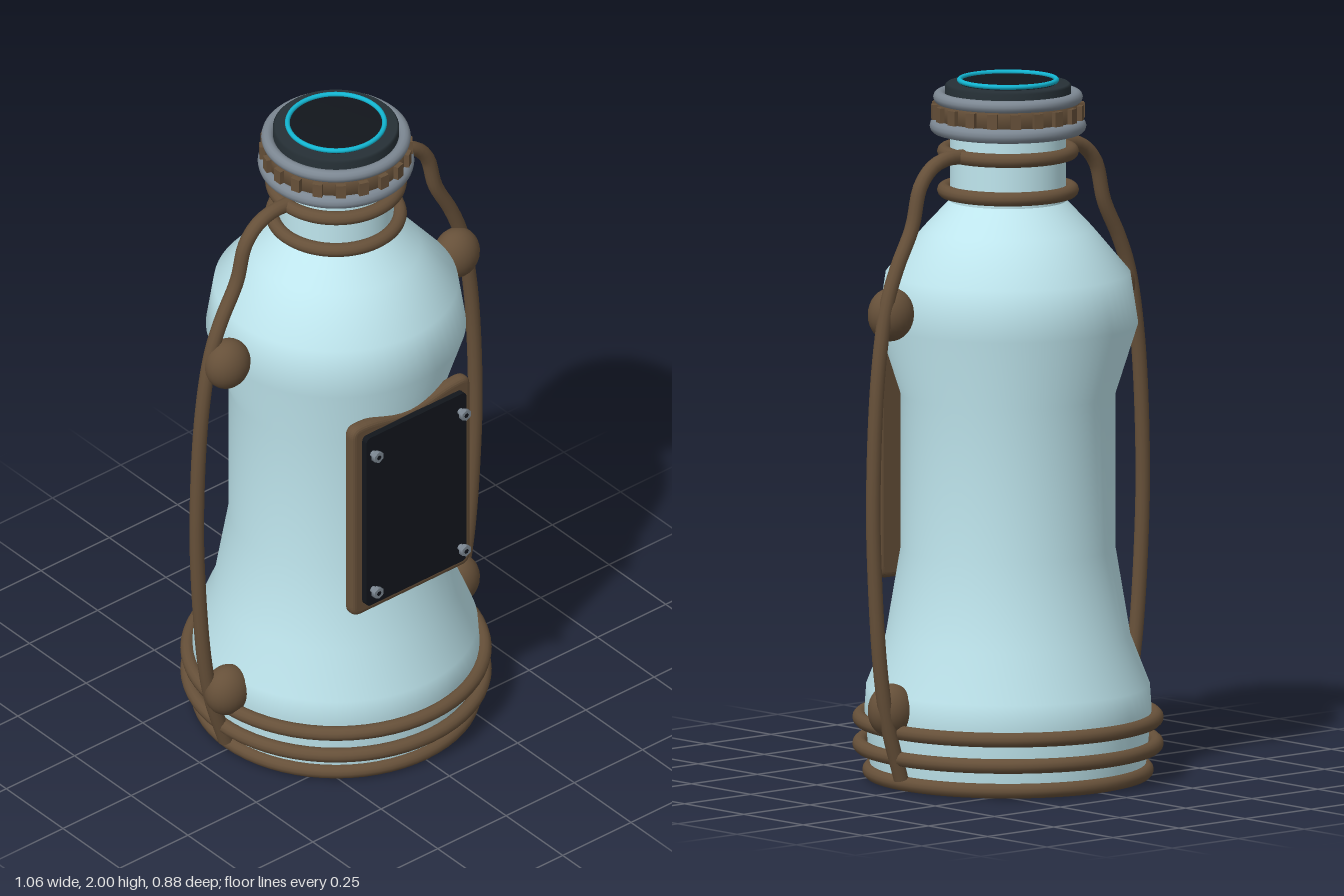
import * as THREE from 'three';

const mat = (color) => new THREE.MeshStandardMaterial({ color });

export function createModel() {
  const root = new THREE.Group();
  const glass = mat(0xbfe6ee), brown = mat(0x665039), black = mat(0x12161c);
  const steel = mat(0x7c8792), dark = mat(0x263036), cyan = mat(0x12b4d0);

  const add = (name, geometry, material, x = 0, y = 0, z = 0, parent = root) => {
    const mesh = new THREE.Mesh(geometry, material);
    mesh.name = name;
    mesh.position.set(x, y, z);
    parent.add(mesh);
    return mesh;
  };
  const lathe = (name, points, material) =>
    add(name, new THREE.LatheGeometry(points.map(([r, y]) => new THREE.Vector2(r, y)), 64), material);
  const ring = (name, radius, tube, y, material) =>
    add(name, new THREE.TorusGeometry(radius, tube, 12, 64).rotateX(Math.PI / 2), material, 0, y);

  // Bottle body
  lathe('body', [
    [0.385, 0.02], [0.39, 0.05], [0.405, 0.2], [0.4, 0.27], [0.345, 0.41], [0.303, 0.66],
    [0.303, 1.1], [0.367, 1.3], [0.345, 1.445], [0.24, 1.57], [0.165, 1.65],
  ], glass);
  lathe('neck', [[0.163, 1.64], [0.163, 1.88]], glass);

  // Underside: dark foot around a pale base
  lathe('foot', [[0.31, 0.02], [0.31, 0.005], [0.39, 0.005], [0.39, 0.03]], dark);
  add('base', new THREE.CircleGeometry(0.32, 64).rotateX(Math.PI / 2), glass, 0, 0.015);

  // Bands around the base and the neck
  [[0.39, 0.025], [0.418, 0.1], [0.418, 0.175]].forEach(([r, y]) => ring('baseBand', r, 0.021, y, brown));
  [1.68, 1.79].forEach((y) => ring('neckBand', 0.18, 0.02, y, brown));

  // Cap: two steel rings, a ribbed grip and a lit lid
  ring('capLowerRing', 0.2, 0.021, 1.863, steel);
  ring('capUpperRing', 0.193, 0.018, 1.945, steel);
  lathe('capGrip', [[0.16, 1.865], [0.202, 1.87], [0.202, 1.935], [0.16, 1.945]], brown);
  for (let i = 0; i < 20; i++) {
    const a = (i / 20) * Math.PI * 2;
    add('gripRib', new THREE.BoxGeometry(0.028, 0.042, 0.02), brown,
      Math.sin(a) * 0.206, 1.905, Math.cos(a) * 0.206).rotation.y = a;
  }
  lathe('capCollar', [[0.178, 1.93], [0.178, 1.978], [0.172, 1.984], [0, 1.984]], dark);
  lathe('lid', [[0.137, 1.98], [0.137, 1.99], [0, 1.99]], black);
  ring('lidGlowRing', 0.137, 0.007, 1.993, cyan);

  // Side handles with knobs
  const path = [
    [0.17, 1.792], [0.24, 1.79], [0.29, 1.77], [0.333, 1.72], [0.363, 1.61], [0.42, 1.5],
    [0.458, 1.4], [0.492, 1.2], [0.51, 0.85], [0.503, 0.6], [0.482, 0.35], [0.455, 0.2], [0.405, 0.04],
  ];
  for (const side of [1, -1]) {
    const handle = new THREE.Group();
    handle.name = side > 0 ? 'leftHandle' : 'rightHandle';
    root.add(handle);
    const curve = new THREE.CatmullRomCurve3(path.map(([x, y]) => new THREE.Vector3(side * x, y, 0)));
    add('handleRod', new THREE.TubeGeometry(curve, 80, 0.021, 12), brown, 0, 0, 0, handle);
    for (const y of [1.365, 0.235]) {
      add('handleKnob', new THREE.SphereGeometry(1, 24, 16), brown, side * 0.42, y, 0.026, handle)
        .scale.set(0.07, 0.076, 0.06);
    }
  }

  // Front panel: frame with a dipped top edge, plate and bolts
  const panel = new THREE.Group();
  panel.name = 'panel';
  root.add(panel);
  const w = 0.218, lo = 0.555, hi = 1.205, c = 0.035;
  const outline = new THREE.Shape();
  outline.moveTo(-w + c, lo);
  outline.lineTo(w - c, lo);
  outline.quadraticCurveTo(w, lo, w, lo + c);
  outline.lineTo(w, hi - c);
  outline.quadraticCurveTo(w, hi, w - c, hi);
  outline.bezierCurveTo(0.11, hi, 0.07, hi - 0.025, 0, hi - 0.025);
  outline.bezierCurveTo(-0.07, hi - 0.025, -0.11, hi, -w + c, hi);
  outline.quadraticCurveTo(-w, hi, -w, hi - c);
  outline.lineTo(-w, lo + c);
  outline.quadraticCurveTo(-w, lo, -w + c, lo);
  add('panelFrame', new THREE.ExtrudeGeometry(outline, {
    depth: 0.01, bevelSize: 0.015, bevelThickness: 0.015, bevelOffset: -0.015, bevelSegments: 4, curveSegments: 10,
  }), brown, 0, 0, 0.311, panel);

  const pw = 0.183, ph = 0.29, r = 0.015;
  const plate = new THREE.Shape();
  plate.absarc(pw - r, ph - r, r, 0, Math.PI / 2);
  plate.absarc(-pw + r, ph - r, r, Math.PI / 2, Math.PI);
  plate.absarc(-pw + r, -ph + r, r, Math.PI, Math.PI * 1.5);
  plate.absarc(pw - r, -ph + r, r, Math.PI * 1.5, Math.PI * 2);
  add('panelPlate', new THREE.ExtrudeGeometry(plate, { depth: 0.025, bevelEnabled: false, curveSegments: 4 }),
    black, 0, 0.882, 0.33, panel);

  for (const x of [-0.16, 0.16]) {
    for (const y of [0.645, 1.115]) {
      add('boltShank', new THREE.CylinderGeometry(0.01, 0.01, 0.03, 12).rotateX(Math.PI / 2), steel, x, y, 0.362, panel);
      add('boltHead', new THREE.CylinderGeometry(0.018, 0.018, 0.014, 6).rotateX(Math.PI / 2), steel, x, y, 0.376, panel);
      add('boltSocket', new THREE.CircleGeometry(0.008, 6), black, x, y, 0.3835, panel);
    }
  }
  return root;
}
